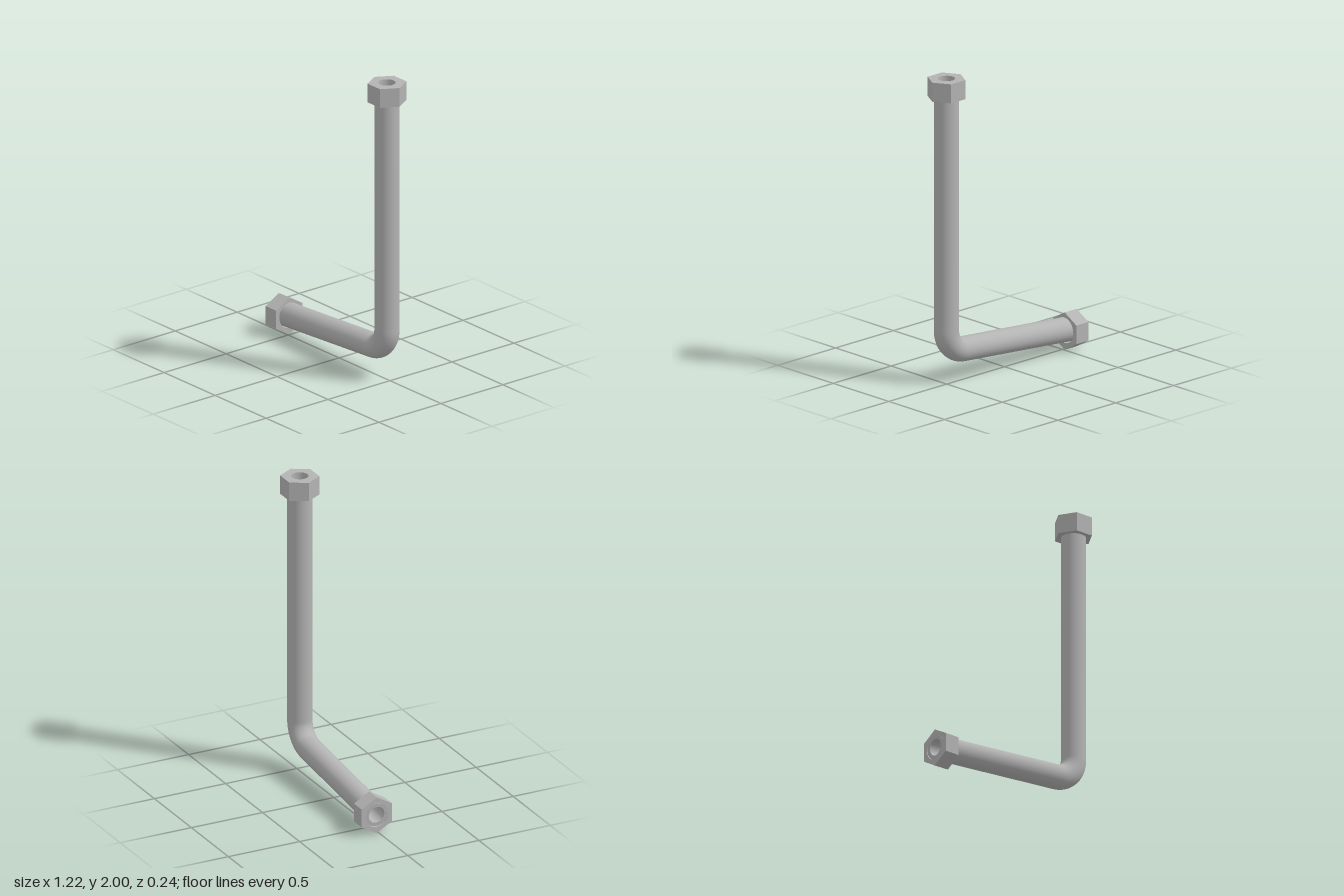
import * as THREE from 'three';

const PIPE_R = 0.079, BORE_R = 0.054, NUT_R = 0.1225;

// Hexagonal nut with a round hole, extruded along +z, corners on the x axis
function hexNut(depth) {
  const shape = new THREE.Shape();
  for (let i = 0; i < 6; i++) {
    const a = (i * Math.PI) / 3;
    const x = NUT_R * Math.cos(a), y = NUT_R * Math.sin(a);
    if (i) shape.lineTo(x, y); else shape.moveTo(x, y);
  }
  shape.closePath();
  const hole = new THREE.Path();
  hole.absarc(0, 0, PIPE_R - 0.001, 0, Math.PI * 2, true);
  shape.holes.push(hole);
  return new THREE.ExtrudeGeometry(shape, { depth, bevelEnabled: false, curveSegments: 24 });
}

export function createModel() {
  const group = new THREE.Group();
  const steel = new THREE.MeshStandardMaterial({ color: 0xb3b3b3 });
  steel.name = 'steel grey';
  const add = (name, geometry) => {
    const mesh = new THREE.Mesh(geometry, steel);
    mesh.name = name;
    group.add(mesh);
    return mesh;
  };

  // Pipe centre line: sloping run, rounded elbow, upright run
  const low = new THREE.Vector3(-0.606, 0.126, -0.0145);
  const corner = new THREE.Vector3(0.488, 0.207, 0.0145);
  const top = new THREE.Vector3(0.488, 2, 0.0145);
  const toLow = low.clone().sub(corner).normalize();
  const toTop = top.clone().sub(corner).normalize();
  const T = 0.139, H = T * (1 - 0.563);
  const at = (dir, d) => corner.clone().addScaledVector(dir, d);
  const path = new THREE.CurvePath();
  path.add(new THREE.LineCurve3(low, at(toLow, T)));
  path.add(new THREE.CubicBezierCurve3(at(toLow, T), at(toLow, H), at(toTop, H), at(toTop, T)));
  path.add(new THREE.LineCurve3(at(toTop, T), top));

  add('pipe', new THREE.TubeGeometry(path, 200, PIPE_R, 48));

  // Bore: same path run backwards so that its faces point inward
  const bore = new THREE.TubeGeometry(path, 200, BORE_R, 48);
  const index = bore.index.array;
  for (let i = 0; i < index.length; i += 3) [index[i], index[i + 1]] = [index[i + 1], index[i]];
  const normals = bore.attributes.normal.array;
  for (let i = 0; i < normals.length; i++) normals[i] = -normals[i];
  add('bore', bore);

  // Annular faces closing the pipe wall at both ends
  for (const [name, point, dir] of [['lowerPipeEnd', low, toLow], ['upperPipeEnd', top, toTop]]) {
    const ring = add(name, new THREE.RingGeometry(BORE_R, PIPE_R, 48));
    ring.position.copy(point);
    ring.quaternion.setFromUnitVectors(new THREE.Vector3(0, 0, 1), dir);
  }

  // Nuts: upper one upright, lower one lying along x with corners up and down
  const upper = hexNut(0.125).rotateX(-Math.PI / 2);
  add('upperNut', upper).position.set(0.488, 1.875, 0.0145);
  const lower = hexNut(0.104).rotateZ(Math.PI / 2).rotateY(Math.PI / 2);
  add('lowerNut', lower).position.set(-0.609, 0.1235, -0.0145);

  return group;
}
